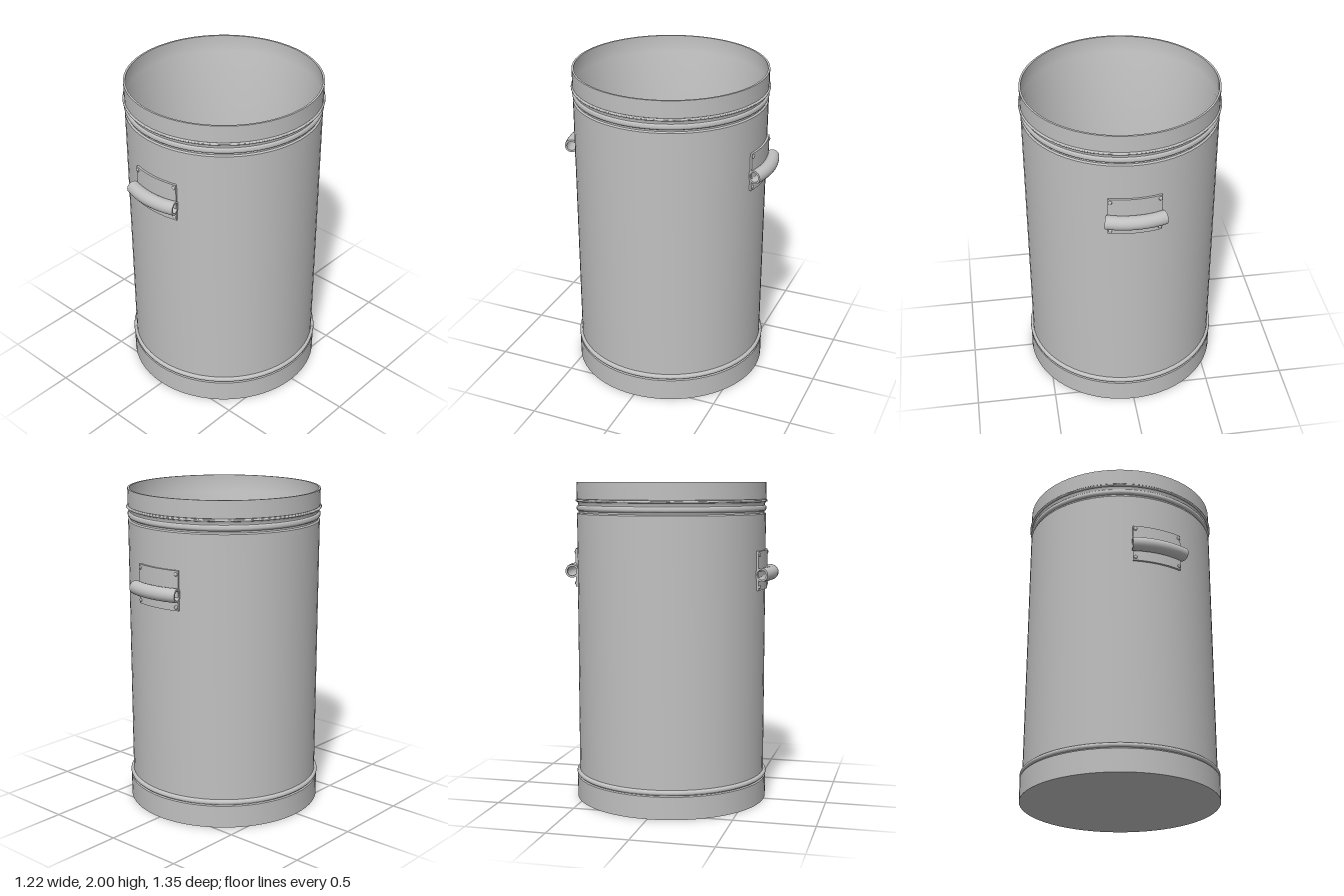
import * as THREE from 'three';
import { toCreasedNormals } from 'three/addons/utils/BufferGeometryUtils.js';

const metal = new THREE.MeshStandardMaterial({ color: 0xc0c0c0 });
metal.name = 'galvanised grey';

function part(name, geometry, crease = 0.6) {
  const mesh = new THREE.Mesh(toCreasedNormals(geometry, crease), metal);
  mesh.name = name;
  return mesh;
}

// half-round bead in a profile, bulging outwards from radius r
function bead(r, y, bulge, half) {
  return Array.from({ length: 9 }, (_, i) => {
    const a = -Math.PI / 2 + (i / 8) * Math.PI;
    return [r + bulge * Math.cos(a), y + half * Math.sin(a)];
  });
}

// one lathe profile: underside, base band, wall, grooved neck, rim, inside, floor
function canBody() {
  const profile = [
    [0, 0], [0.606, 0], [0.606, 0.14], [0.597, 0.145],
    ...bead(0.597, 0.162, 0.012, 0.014),
    [0.592, 0.178], [0.592, 1.805], [0.588, 1.81], [0.582, 1.812], [0.582, 1.822],
    ...bead(0.584, 1.841, 0.011, 0.017),
    [0.584, 1.866],
    ...bead(0.590, 1.886, 0.012, 0.008),
    [0.593, 1.896], [0.593, 2], [0.581, 2], [0.581, 1.896], [0.574, 1.88], [0.574, 0.03], [0, 0.03],
  ].map(([r, y]) => new THREE.Vector2(r, y));
  return part('canBody', new THREE.LatheGeometry(profile, 64));
}

// curved mounting plate hugging the wall
function mountingPlate() {
  const half = 0.267, mid = -Math.PI / 2;
  const shape = new THREE.Shape();
  shape.absarc(0, 0, 0.605, mid - half, mid + half, false);
  shape.absarc(0, 0, 0.588, mid + half, mid - half, true);
  const g = new THREE.ExtrudeGeometry(shape, { depth: 0.24, bevelEnabled: false, curveSegments: 12 });
  g.rotateX(-Math.PI / 2).translate(0, 1.345, 0);
  return part('handlePlate', g);
}

// hollow bowed grip
function grip() {
  const R = 0.51, half = 0.345;
  const points = Array.from({ length: 9 }, (_, i) => {
    const a = -half + (i / 8) * 2 * half;
    return new THREE.Vector3(R * Math.sin(a), 1.443, 0.124 + R * Math.cos(a));
  });
  const section = new THREE.Shape().absarc(0, 0, 0.042, 0, Math.PI * 2, false);
  section.holes.push(new THREE.Path().absarc(0, 0, 0.03, 0, Math.PI * 2, true));
  const g = new THREE.ExtrudeGeometry(section, {
    steps: 20, curveSegments: 12, extrudePath: new THREE.CatmullRomCurve3(points),
  });
  return part('handleGrip', g, 0.8);
}

function handle(name) {
  const group = new THREE.Group();
  group.name = name;
  group.add(mountingPlate(), grip());
  // rivets in the plate corners
  for (const side of [-1, 1]) {
    for (const y of [1.366, 1.564]) {
      const angle = side * 0.243;
      const rivet = part('rivet', new THREE.SphereGeometry(0.012, 12, 8));
      rivet.scale.z = 0.6;
      rivet.rotation.y = angle;
      rivet.position.set(0.605 * Math.sin(angle), y, 0.605 * Math.cos(angle));
      group.add(rivet);
    }
  }
  return group;
}

export function createModel() {
  const model = new THREE.Group();
  model.name = 'metalBin';
  const back = handle('backHandle');
  back.rotation.y = Math.PI;
  model.add(canBody(), handle('frontHandle'), back);
  return model;
}
